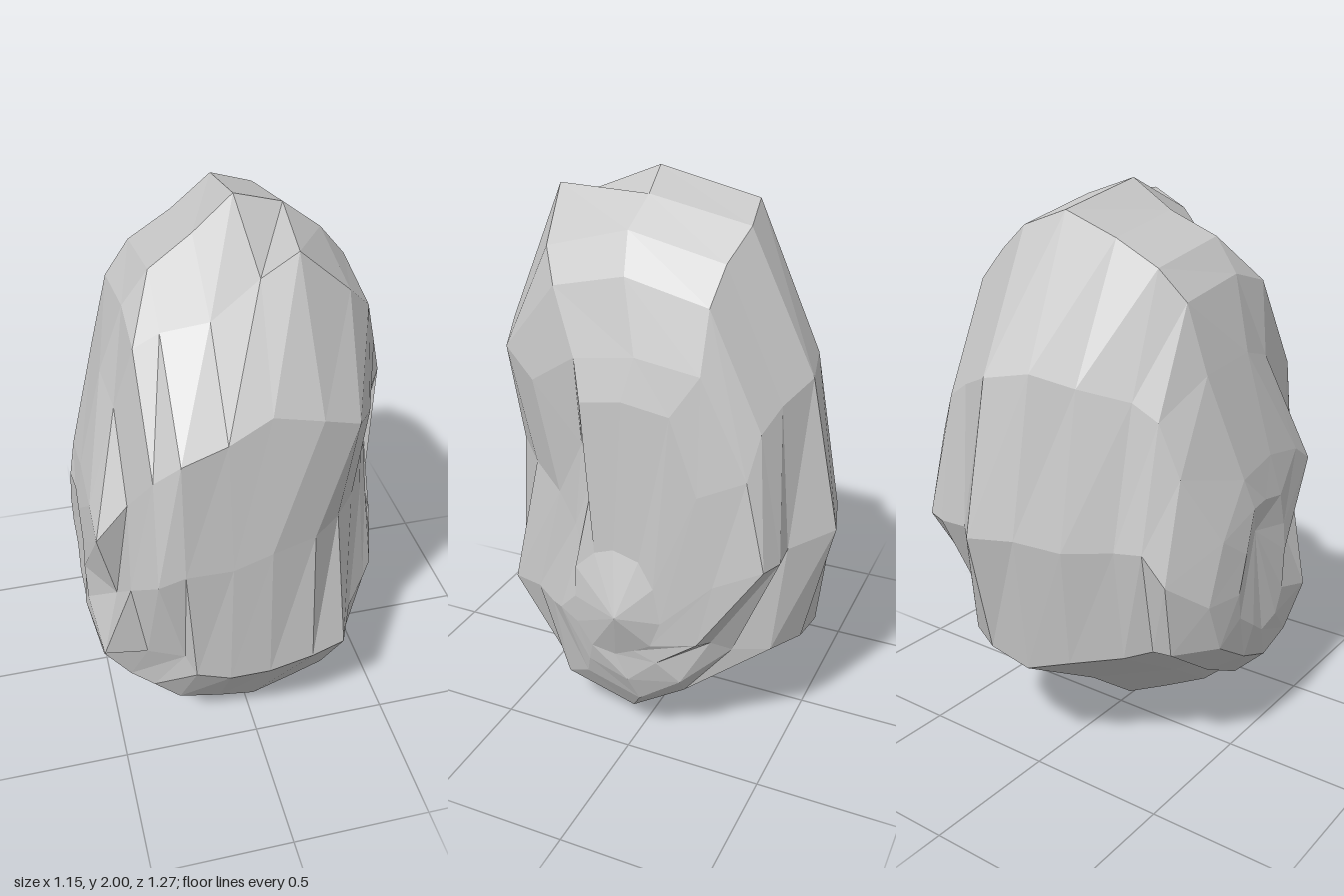
import * as THREE from 'three';

// Cross-sections across the width: x, bottom, top, back, front
const RINGS = [
  [0.515, 0.40, 0.82, -0.14, 0.18],
  [0.50, 0.30, 1.36, -0.32, 0.25],
  [0.47, 0.20, 1.50, -0.48, 0.33],
  [0.40, 0.10, 1.73, -0.52, 0.46],
  [0.30, 0.07, 1.85, -0.57, 0.56],
  [0.17, 0.03, 1.94, -0.635, 0.60],
  [0.01, 0.00, 2.00, -0.59, 0.62],
  [-0.13, 0.06, 1.90, -0.52, 0.63],
  [-0.28, 0.12, 1.83, -0.42, 0.635],
  [-0.37, 0.20, 1.70, -0.39, 0.62],
  [-0.44, 0.23, 1.45, -0.37, 0.50],
  [-0.54, 0.33, 1.10, -0.24, 0.44],
  [-0.565, 0.46, 0.96, -0.10, 0.22],
];
// Shared outline: depth -1..1, height 0..1, running top, front, bottom, back
const OUTLINE = [
  [0.1, 1], [0.64, 0.965], [0.95, 0.75], [1, 0.5], [1, 0.23], [0.63, 0.045],
  [0.1, 0], [-0.3, 0.09], [-0.82, 0.21], [-1, 0.44], [-0.83, 0.72], [-0.47, 0.965],
];
// Hollows and knobs: centre, radius, push
const DENTS = [
  [0.43, 1.02, 0.40, 0.38, -0.02, 0, -0.16],    // front hollow, left side
  [0.43, 0.46, 0.42, 0.16, -0.03, 0.02, -0.04], // front lower corner, left side
  [0.46, 0.48, -0.41, 0.14, -0.05, 0, 0.12],    // back lower hollow
  [0.47, 0.78, -0.48, 0.12, 0.02, 0.06, -0.01], // back corner
  [0.31, 0.85, -0.56, 0.11, 0, 0, 0.06],        // back recess
  [-0.15, 0.44, -0.42, 0.40, 0, -0.03, -0.06],  // back lower bulge
  [-0.38, 0.28, -0.22, 0.20, 0, 0, -0.06],      // back lower corner, right side
  [-0.34, 1.72, 0.45, 0.32, 0, 0, -0.11],       // front shoulder, right side
  [-0.15, 1.84, 0.40, 0.30, 0, -0.09, 0],       // front slope of the top
  [0.15, 1.87, 0.38, 0.10, -0.04, 0.06, 0.02],  // front peak
  [-0.30, 1.75, -0.14, 0.20, 0, 0, -0.06],      // back shoulder, right side
  [-0.46, 1.32, 0.42, 0.24, 0.02, 0, -0.10],    // hollow above the knob
  [-0.54, 0.92, 0.43, 0.15, 0, 0.09, 0.01],     // knob
  [-0.52, 0.70, 0.40, 0.16, 0.06, 0, -0.06],    // notch below the knob
  [-0.40, 0.50, 0.60, 0.16, 0.09, 0, -0.05],    // front lower corner, right side
];

function seeded(seed) {
  return () => {
    seed = (seed * 16807) % 2147483647;
    return seed / 2147483647 - 0.5;
  };
}

function rockGeometry() {
  const rand = seeded(421);
  const n = OUTLINE.length;
  const pos = [];
  const index = [];
  RINGS.forEach(([x, y0, y1, z0, z1], r) => {
    OUTLINE.forEach(([u, v]) => {
      const p = new THREE.Vector3(x, y0 + (y1 - y0) * v, (z0 + z1) / 2 + u * (z1 - z0) / 2);
      const push = new THREE.Vector3();
      for (const [cx, cy, cz, radius, dx, dy, dz] of DENTS) {
        const f = Math.max(0, 1 - Math.hypot(p.x - cx, p.y - cy, p.z - cz) / radius);
        push.addScaledVector(new THREE.Vector3(dx, dy, dz), Math.min(1, f * 1.6));
      }
      p.add(push);
      // slight unevenness
      p.x += rand() * 0.012;
      if (v > 0 && v < 1) p.y += rand() * 0.03;
      if (Math.abs(u) < 1) p.z += rand() * 0.02;
      pos.push(p.x, Math.max(0, p.y), p.z);
    });
    if (r === 0) return;
    for (let j = 0; j < n; j++) {
      const k = (j + 1) % n;
      const a = (r - 1) * n, b = r * n;
      index.push(a + j, b + j, b + k, a + j, b + k, a + k);
    }
  });
  // side caps: one pointed, one sunken
  const first = pos.length / 3;
  const last = (RINGS.length - 1) * n;
  pos.push(0.58, 0.60, 0, -0.53, 0.84, 0.06);
  for (let j = 0; j < n; j++) {
    const k = (j + 1) % n;
    index.push(first, j, k, first + 1, last + k, last + j);
  }
  const g = new THREE.BufferGeometry();
  g.setAttribute('position', new THREE.Float32BufferAttribute(pos, 3));
  g.setIndex(index);
  const flat = g.toNonIndexed();
  flat.computeVertexNormals();
  return flat;
}

export function createModel() {
  const stone = new THREE.MeshStandardMaterial({ color: 0xc8c8c8 });
  stone.name = 'stone grey';
  stone.flatShading = true;
  const rock = new THREE.Mesh(rockGeometry(), stone);
  rock.name = 'rock';
  const group = new THREE.Group();
  group.name = 'boulder';
  group.add(rock);
  return group;
}
